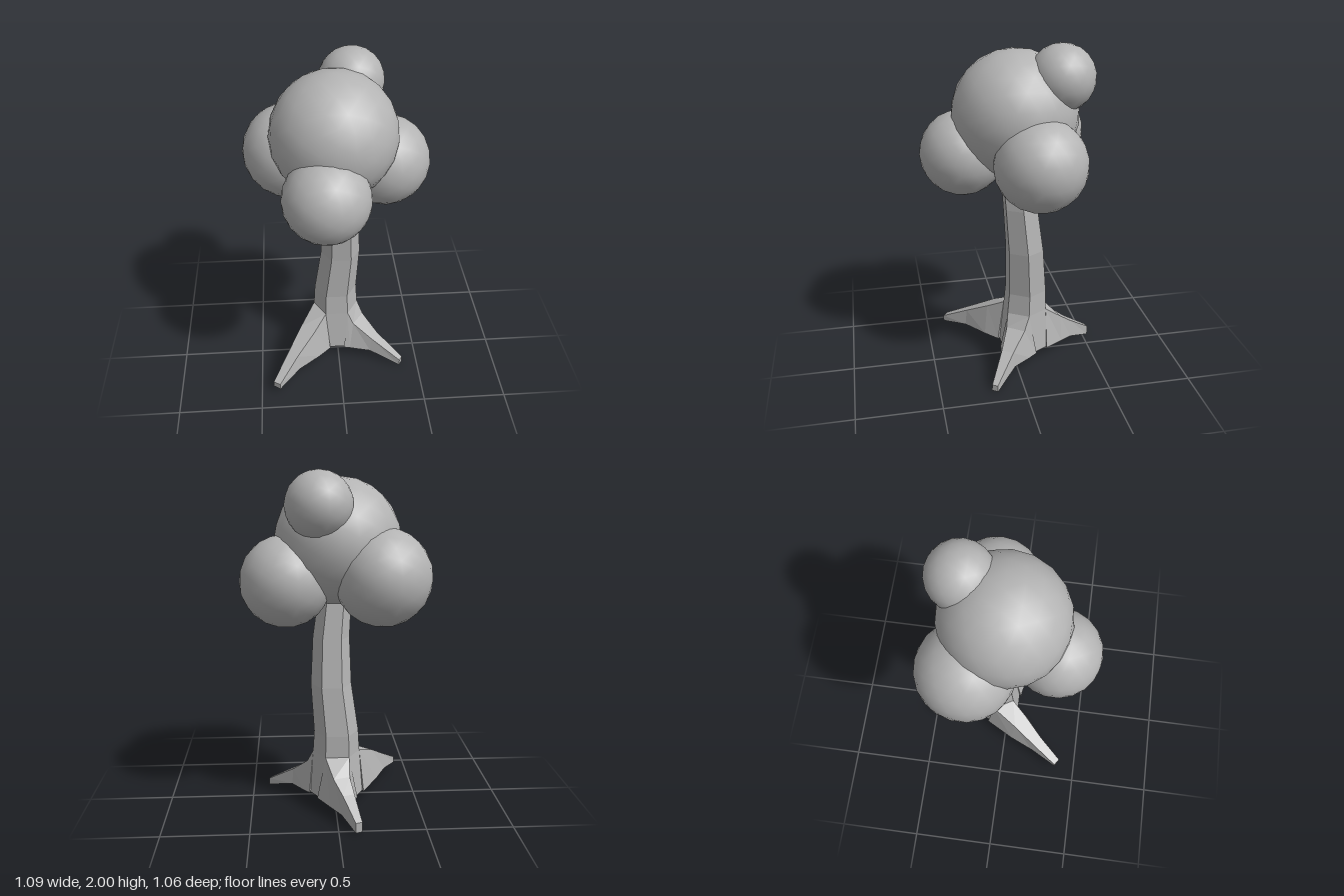
import * as THREE from 'three';

// Joins equal-sized rings of points (counter-clockwise about the path) into a capped, faceted solid.
function loft(rings) {
  const pos = [];
  const tri = (a, b, c) => pos.push(...a, ...b, ...c);
  const n = rings[0].length;
  for (let k = 0; k < rings.length - 1; k++) {
    const a = rings[k], b = rings[k + 1];
    for (let i = 0; i < n; i++) {
      const j = (i + 1) % n;
      tri(a[i], a[j], b[j]);
      tri(a[i], b[j], b[i]);
    }
  }
  const first = rings[0], last = rings[rings.length - 1];
  for (let i = 1; i < n - 1; i++) {
    tri(first[0], first[i + 1], first[i]);
    tri(last[0], last[i], last[i + 1]);
  }
  const geo = new THREE.BufferGeometry();
  geo.setAttribute('position', new THREE.Float32BufferAttribute(pos, 3));
  geo.computeVertexNormals();
  return geo;
}

// Six-sided level of the trunk
function hexagon([x, y, z, r]) {
  return Array.from({ length: 6 }, (_, i) => {
    const a = (i * Math.PI) / 3;
    return [x + r * Math.cos(a), y, z - r * Math.sin(a)];
  });
}

// Root from sections of [x, z, top y, bottom y, half width at top, half width at bottom]
function rootGeometry(sections, faceAngle) {
  const rings = sections.map(([x, z, top, bottom, wt, wb], k) => {
    const p = sections[Math.max(k - 1, 0)];
    const q = sections[Math.min(k + 1, sections.length - 1)];
    const d = k === 0
      ? new THREE.Vector2(Math.cos(faceAngle), Math.sin(faceAngle))
      : new THREE.Vector2(q[0] - p[0], q[1] - p[1]).normalize();
    const sx = d.y, sz = -d.x;
    return [
      [x + sx * wt, top, z + sz * wt],
      [x - sx * wt, top, z - sz * wt],
      [x - sx * wb, bottom, z - sz * wb],
      [x + sx * wb, bottom, z + sz * wb],
    ];
  });
  return loft(rings);
}

export function createModel() {
  const tree = new THREE.Group();
  tree.name = 'tree';
  const grey = new THREE.MeshStandardMaterial({ color: 0xb4b4b4 });
  grey.name = 'plain grey';

  const add = (name, geometry) => {
    const mesh = new THREE.Mesh(geometry, grey);
    mesh.name = name;
    tree.add(mesh);
    return mesh;
  };

  // Gently bending trunk: x, y, z, radius
  add('trunk', loft([
    [-0.01, 0.075, -0.085, 0.175],
    [-0.01, 0.33, -0.085, 0.14],
    [-0.01, 0.46, -0.09, 0.132],
    [0.02, 0.75, -0.075, 0.12],
    [0.018, 1.03, -0.048, 0.108],
    [-0.01, 1.32, -0.02, 0.095],
  ].map(hexagon)));

  // Three roots flaring out of alternate trunk sides
  const deg = Math.PI / 180;
  add('leftRoot', rootGeometry([
    [0.095, -0.025, 0.33, 0.075, 0.07, 0.12],
    [0.13, 0.0, 0.25, 0.07, 0.06, 0.1],
    [0.23, 0.07, 0.16, 0.065, 0.038, 0.05],
    [0.395, 0.178, 0.045, 0.005, 0.018, 0.02],
  ], 30 * deg));
  add('rightRoot', rootGeometry([
    [-0.115, -0.025, 0.33, 0.075, 0.07, 0.12],
    [-0.2, 0.1, 0.265, 0.08, 0.052, 0.09],
    [-0.3, 0.23, 0.18, 0.08, 0.036, 0.05],
    [-0.405, 0.38, 0.088, 0.05, 0.024, 0.024],
  ], 150 * deg));
  add('backRoot', rootGeometry([
    [-0.01, -0.206, 0.33, 0.075, 0.07, 0.12],
    [-0.03, -0.3, 0.24, 0.068, 0.05, 0.07],
    [-0.065, -0.38, 0.17, 0.055, 0.036, 0.045],
    [-0.113, -0.525, 0.07, 0.01, 0.02, 0.02],
  ], -90 * deg));

  // Rounded clumps of foliage: name, x, y, z, radius
  for (const [name, x, y, z, r] of [
    ['mainFoliage', -0.02, 1.59, -0.025, 0.367],
    ['topFoliage', 0.095, 1.81, -0.265, 0.19],
    ['frontFoliage', -0.08, 1.355, 0.275, 0.25],
    ['rightFoliage', -0.265, 1.405, -0.205, 0.28],
    ['leftFoliage', 0.28, 1.373, -0.11, 0.265],
  ]) {
    add(name, new THREE.IcosahedronGeometry(r, 3)).position.set(x, y, z);
  }

  return tree;
}
